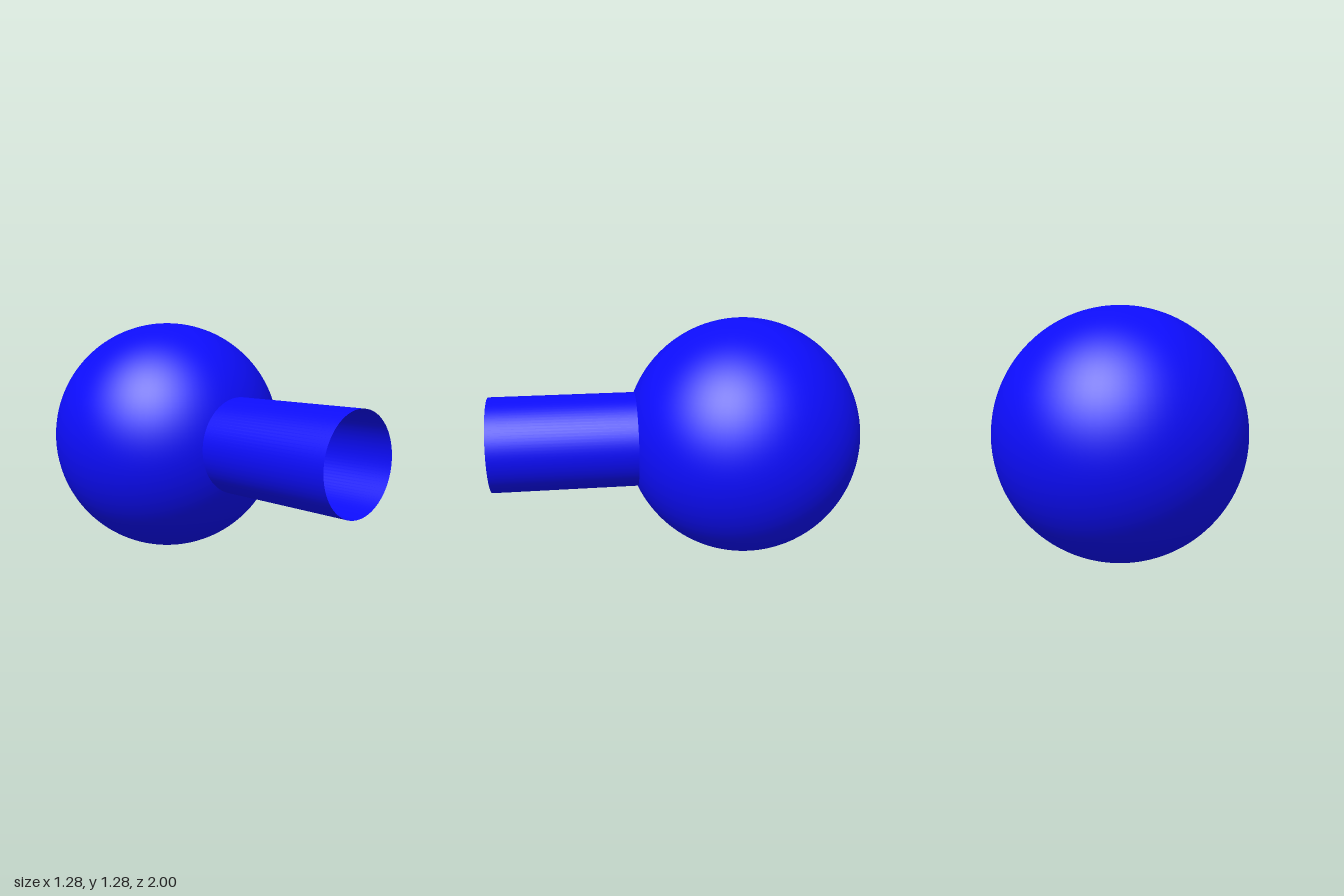
import * as THREE from 'three';

const BALL_RADIUS = 0.64;
const BALL_Z = -0.36;
const TUBE_RADIUS = 0.255;
const TUBE_END = 1;

export function createModel() {
  const group = new THREE.Group();
  group.name = 'ballWithTube';
  const color = 0x0d0dff;

  // Closed ball resting on the ground
  const ball = new THREE.Mesh(
    new THREE.SphereGeometry(BALL_RADIUS, 96, 64),
    new THREE.MeshStandardMaterial({ color })
  );
  ball.name = 'ball';
  ball.position.set(0, BALL_RADIUS, BALL_Z);
  group.add(ball);

  // Thin open tube, starting where it meets the ball's surface
  const tubeStart = BALL_Z + Math.sqrt(BALL_RADIUS ** 2 - TUBE_RADIUS ** 2) - 0.005;
  const length = TUBE_END - tubeStart;
  const tube = new THREE.Mesh(
    new THREE.CylinderGeometry(TUBE_RADIUS, TUBE_RADIUS, length, 96, 1, true).rotateX(Math.PI / 2),
    new THREE.MeshStandardMaterial({ color, side: THREE.DoubleSide })
  );
  tube.name = 'tube';
  tube.position.set(0, BALL_RADIUS, tubeStart + length / 2);
  group.add(tube);

  return group;
}
